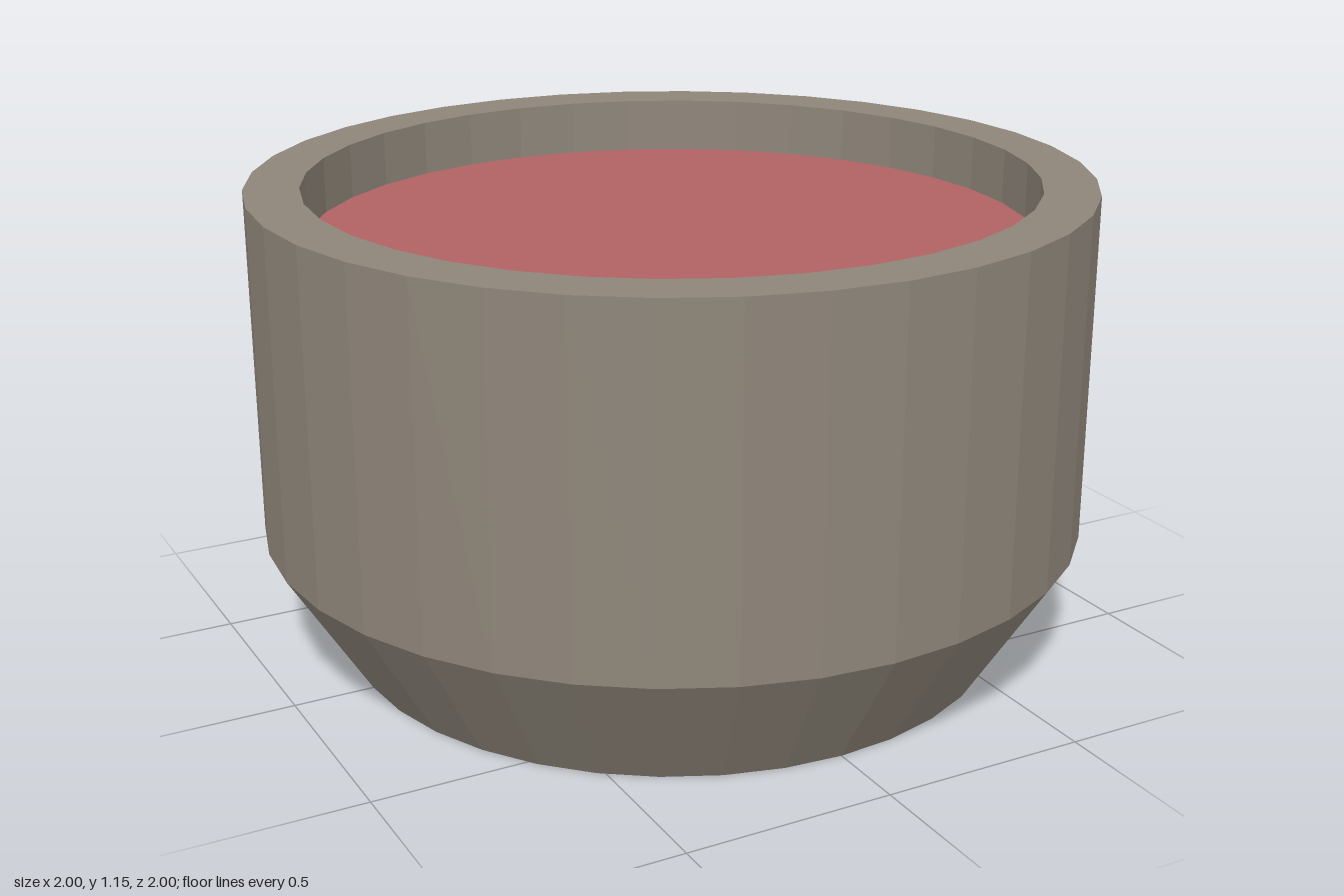
import * as THREE from 'three';

const SIDES = 36;
const TOP = 1.155;
const FILL = 1.02;
const INNER = 0.87;

export function createModel() {
  const model = new THREE.Group();
  model.name = 'filledBowl';

  // Bowl: flat base, sloped foot, straight wall, flat rim and inner wall
  const profile = [
    [0, 0], [0.805, 0], [1, 0.315], [1, TOP], [INNER, TOP], [INNER, FILL],
  ].map(([r, y]) => new THREE.Vector2(r, y));
  const bowl = new THREE.Mesh(
    new THREE.LatheGeometry(profile, SIDES),
    new THREE.MeshStandardMaterial({ color: 0x8f867a, flatShading: true }),
  );
  bowl.name = 'bowl';
  model.add(bowl);

  // Flat surface of the contents, set below the rim
  const contents = new THREE.Mesh(
    new THREE.CircleGeometry(INNER, SIDES).rotateX(-Math.PI / 2),
    new THREE.MeshStandardMaterial({ color: 0xb16163, flatShading: true }),
  );
  contents.name = 'contents';
  contents.position.y = FILL;
  model.add(contents);

  return model;
}
